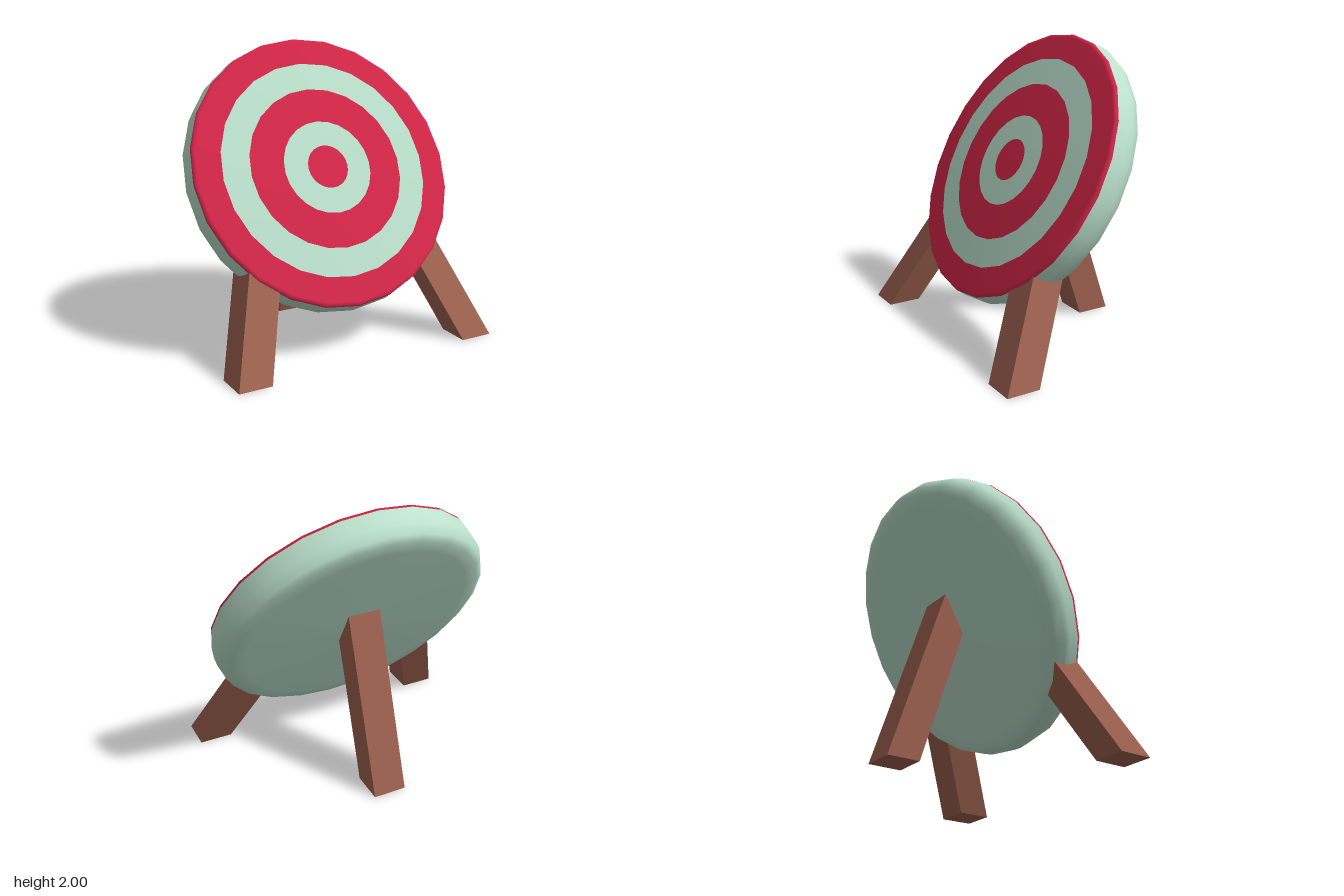
import * as THREE from 'three';

const SEGMENTS = 24;
const FACE_RADIUS = 0.95;

function material(name, color) {
  const m = new THREE.MeshStandardMaterial({ color });
  m.name = name;
  return m;
}

// Gentle dome of the painted face
const domeHeight = (r) => 0.04 * (1 - (r / FACE_RADIUS) ** 2);

function lathe(name, points, mat) {
  const profile = points.map(([r, y]) => new THREE.Vector2(r, y));
  const mesh = new THREE.Mesh(new THREE.LatheGeometry(profile, SEGMENTS), mat);
  mesh.name = name;
  return mesh;
}

// Square post sheared so that its foot and top both stay level
function leg(name, foot, leanX, leanZ, height, mat) {
  const geo = new THREE.BoxGeometry(0.23, height, 0.23);
  geo.translate(0, height / 2, 0);
  const pos = geo.attributes.position;
  for (let i = 0; i < pos.count; i++) {
    const y = pos.getY(i);
    pos.setX(i, pos.getX(i) + foot[0] + leanX * y);
    pos.setZ(i, pos.getZ(i) + foot[1] + leanZ * y);
  }
  const flat = geo.toNonIndexed();
  flat.computeVertexNormals();
  const mesh = new THREE.Mesh(flat, mat);
  mesh.name = name;
  return mesh;
}

export function createModel() {
  const red = material('red', 0xd42648);
  const mint = material('mint', 0xbbe0cc);
  const wood = material('wood', 0x9f6250);

  const model = new THREE.Group();
  model.name = 'archeryTarget';

  // Tilted round target
  const target = new THREE.Group();
  target.name = 'target';
  target.position.set(0, 1.175, 0.045);
  target.rotation.x = THREE.MathUtils.degToRad(60.6);
  model.add(target);

  // Padded body with rounded back edge
  target.add(lathe('targetBody', [
    [0, -0.262], [0.8, -0.25], [0.89, -0.24], [0.935, -0.215],
    [0.962, -0.15], [0.965, -0.1], [0.956, -0.02],
  ], mint));

  // Concentric rings, outermost first, ending in the bullseye
  const radii = [0.93, 0.76, 0.565, 0.325, 0.15, 0];
  for (let i = 0; i < 5; i++) {
    const points = [radii[i], (radii[i] + radii[i + 1]) / 2, radii[i + 1]]
      .map((r) => [r, domeHeight(r)]);
    if (i === 0) points.unshift([0.956, -0.02], [FACE_RADIUS, 0]);
    target.add(lathe(i === 4 ? 'bullseye' : `ring${i + 1}`, points, i % 2 ? mint : red));
  }

  // Two splayed front legs and one rear prop
  for (const side of [1, -1]) {
    model.add(leg(side > 0 ? 'frontLegLeft' : 'frontLegRight',
      [side * 0.85, 0.557], side * -0.38, -0.525, 0.68, wood));
  }
  model.add(leg('backLeg', [0, -0.557], 0, 0.336, 1.25, wood));

  return model;
}
